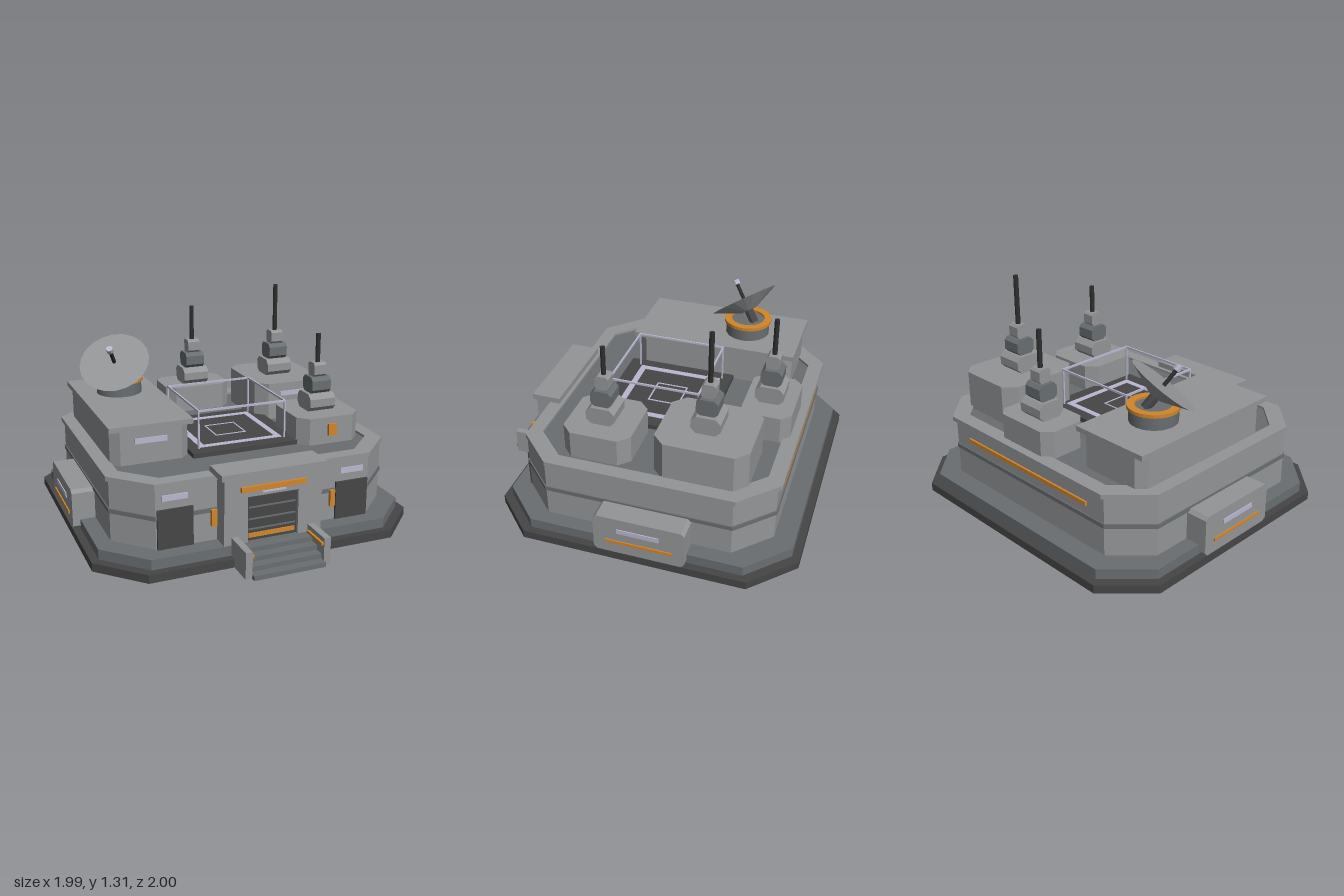
import * as THREE from 'three';

const mat = (name, color) => {
  const m = new THREE.MeshStandardMaterial({ color });
  m.name = name;
  return m;
};

export function createModel() {
  const light = mat('lightGrey', 0x939597);
  const mid = mat('slateGrey', 0x696e71);
  const dark = mat('darkGrey', 0x464646);
  const black = mat('mastBlack', 0x2e2e2e);
  const orange = mat('orange', 0xd0862c);
  const lilac = mat('paleLilac', 0xbab6d0);
  const model = new THREE.Group();
  model.name = 'outpost';

  const add = (name, geo, material, parent = model) => {
    const m = new THREE.Mesh(geo, material);
    m.name = name;
    parent.add(m);
    return m;
  };
  // Box given by its minimum and maximum along each axis
  const box = (name, material, x0, x1, y0, y1, z0, z1, parent = model) => {
    const m = add(name, new THREE.BoxGeometry(x1 - x0, y1 - y0, z1 - z0), material, parent);
    m.position.set((x0 + x1) / 2, (y0 + y1) / 2, (z0 + z1) / 2);
    return m;
  };
  // Rectangle with cut corners, as a list of points
  const cutRect = (u0, u1, v0, v1, c) => [
    [u0 + c, v0], [u1 - c, v0], [u1, v0 + c], [u1, v1 - c],
    [u1 - c, v1], [u0 + c, v1], [u0, v1 - c], [u0, v0 + c],
  ].map(([u, v]) => new THREE.Vector2(u, v));
  // Upright prism with a cut-corner plan and an optional hole
  const prism = (name, material, x0, x1, z0, z1, c, y0, y1, hole) => {
    const shape = new THREE.Shape(cutRect(x0, x1, -z1, -z0, c));
    if (hole) shape.holes.push(new THREE.Path(cutRect(hole[0], hole[1], -hole[3], -hole[2], hole[4])));
    const geo = new THREE.ExtrudeGeometry(shape, { depth: y1 - y0, bevelEnabled: false });
    geo.rotateX(-Math.PI / 2).translate(0, y0, 0);
    return add(name, geo, material);
  };
  // Block along x with a cut-corner profile in z and y
  const sideBlock = (name, material, x0, x1, y0, y1, z0, z1, c) => {
    const shape = new THREE.Shape(cutRect(-z1, -z0, y0, y1, c));
    const geo = new THREE.ExtrudeGeometry(shape, { depth: x1 - x0, bevelEnabled: false });
    geo.rotateY(Math.PI / 2).translate(x0, 0, 0);
    return add(name, geo, material);
  };
  // Flat square outline lying on the pad
  const squareLine = (name, half, width, y) => {
    const shape = new THREE.Shape(cutRect(-half, half, -half, half, 0.0001));
    const i = half - width;
    shape.holes.push(new THREE.Path(cutRect(-i, i, -i, i, 0.0001)));
    const geo = new THREE.ExtrudeGeometry(shape, { depth: 0.004, bevelEnabled: false });
    add(name, geo.rotateX(-Math.PI / 2).translate(0.02, y, 0), lilac);
  };

  // Foundation and main walls
  prism('foundation', dark, -0.985, 0.985, -1, 0.815, 0.245, 0, 0.05);
  prism('plinth', mid, -0.94, 0.94, -0.955, 0.77, 0.23, 0.05, 0.11);
  prism('mainWall', light, -0.85, 0.85, -0.835, 0.665, 0.2, 0.11, 0.47);
  prism('wallBand', mid, -0.857, 0.857, -0.842, 0.672, 0.203, 0.28, 0.305);
  prism('roofDeck', mid, -0.8, 0.8, -0.79, 0.61, 0.19, 0.46, 0.477);
  prism('roofRim', light, -0.865, 0.865, -0.86, 0.67, 0.21, 0.465, 0.492,
    [-0.78, 0.78, -0.77, 0.585, 0.18]);
  box('rearLight', orange, -0.52, 0.52, 0.362, 0.386, -0.847, -0.83);

  // Entrance block, canopy and shutter
  box('entranceSideLeft', light, 0.15, 0.295, 0.11, 0.5, 0.62, 0.768);
  box('entranceSideRight', light, -0.295, -0.155, 0.11, 0.5, 0.62, 0.768);
  box('entranceLintel', light, -0.155, 0.15, 0.38, 0.5, 0.62, 0.768);
  box('canopy', light, -0.315, 0.315, 0.495, 0.53, 0.605, 0.783);
  box('shutter', dark, -0.155, 0.15, 0.11, 0.38, 0.64, 0.748);
  for (const y of [0.175, 0.235, 0.305]) box('shutterSlat', mid, -0.145, 0.14, y, y + 0.008, 0.748, 0.754);
  box('shutterStripe', orange, -0.145, 0.135, 0.13, 0.155, 0.748, 0.756);
  box('entranceLight', orange, -0.2, 0.19, 0.415, 0.445, 0.768, 0.784);
  box('entranceSign', lilac, -0.075, 0.07, 0.397, 0.406, 0.768, 0.776);

  // Steps with side walls
  for (let i = 0; i < 4; i++) box('step', mid, -0.215, 0.212, 0, 0.027 * (i + 1), 0.76, 0.995 - i * 0.055);
  for (const s of [-1, 1]) {
    const w = box('stepWall', light, -0.02, 0.02, 0, 0.157, 0.768, 0.967);
    w.position.x = s * 0.233;
    const l = box('stepLight', orange, -0.007, 0.007, 0.115, 0.13, 0.785, 0.96);
    l.position.x = s * 0.206;
  }

  // Front doors and lamps, side pods with light strips
  for (const s of [-1, 1]) {
    box('sideDoor', dark, -0.103, 0.103, 0.11, 0.34, 0.655, 0.678).position.x = s * 0.541;
    box('doorSign', lilac, -0.074, 0.074, 0.388, 0.421, 0.66, 0.673).position.x = s * 0.54;
    box('wallLamp', orange, -0.015, 0.015, 0.25, 0.345, 0.765, 0.785).position.x = s * 0.357;
    const x = s > 0 ? 0.8 : -0.985;
    sideBlock('sidePod', light, x, x + 0.185, 0.052, 0.295, -0.405, 0.128, 0.02);
    box('podWindow', lilac, -0.005, 0.005, 0.198, 0.227, -0.26, -0.012).position.x = s * 0.986;
    box('podLight', orange, -0.006, 0.006, 0.123, 0.142, -0.335, 0.055).position.x = s * 0.987;
  }

  // Landing pad with painted squares and a railing
  box('landingPad', dark, -0.315, 0.365, 0.47, 0.505, -0.335, 0.35);
  squareLine('padBorder', 0.265, 0.037, 0.504);
  squareLine('padCentre', 0.1, 0.009, 0.504);
  for (const s of [-1, 1]) {
    const e = s * 0.275;
    box('railAlongX', lilac, -0.26, 0.3, 0.728, 0.74, e - 0.005, e + 0.005);
    box('railAlongZ', lilac, 0.015 + e, 0.025 + e, 0.728, 0.74, -0.28, 0.28);
    for (const t of [-0.275, 0.275]) box('railPost', lilac, 0.015 + e, 0.025 + e, 0.5, 0.74, t - 0.005, t + 0.005);
  }

  // Roof house carrying the dish
  prism('dishHouse', light, -0.785, -0.32, -0.695, 0.31, 0.05, 0.47, 0.685);
  box('dishHouseRoof', light, -0.803, -0.305, 0.683, 0.713, -0.71, 0.33);
  box('dishHouseWindow', lilac, -0.65, -0.46, 0.598, 0.63, 0.3, 0.317);

  // Dish: drum, orange ring and tilted reflector
  add('dishDrum', new THREE.CylinderGeometry(0.14, 0.14, 0.085, 16).toNonIndexed(), mid)
    .position.set(-0.55, 0.755, -0.36);
  const ring = new THREE.Shape().absarc(0, 0, 0.15, 0, Math.PI * 2);
  ring.holes.push(new THREE.Path().absarc(0, 0, 0.105, 0, Math.PI * 2));
  const ringGeo = new THREE.ExtrudeGeometry(ring, { depth: 0.02, bevelEnabled: false, curveSegments: 16 });
  add('dishRing', ringGeo.rotateX(-Math.PI / 2), orange).position.set(-0.55, 0.79, -0.36);
  const dish = new THREE.Group();
  dish.name = 'dish';
  dish.position.set(-0.585, 0.915, -0.32);
  dish.quaternion.setFromUnitVectors(new THREE.Vector3(0, 1, 0), new THREE.Vector3(-0.34, 0.77, 0.54).normalize());
  model.add(dish);
  const flat = (geo) => {
    const g = geo.toNonIndexed();
    g.computeVertexNormals();
    return g;
  };
  add('reflector', flat(new THREE.CylinderGeometry(0.218, 0.05, 0.075, 20)), light, dish).position.y = -0.0375;
  add('dishStrut', flat(new THREE.CylinderGeometry(0.03, 0.03, 0.09, 8)), dark, dish).position.y = -0.115;
  add('feedArm', flat(new THREE.CylinderGeometry(0.012, 0.012, 0.11, 8)), black, dish).position.y = 0.055;
  add('feedTip', flat(new THREE.CylinderGeometry(0.022, 0.022, 0.03, 8)), lilac, dish).position.y = 0.122;

  // Roof blocks, each with a stepped antenna
  const antenna = (x, z, y, top) => {
    [[0.17, 0.107, light], [0.125, 0.1, mid], [0.08, 0.085, light]].forEach(([w, h, m]) => {
      sideBlock('antennaBase', m, x - w / 2, x + w / 2, y, y + h, z - w / 2, z + w / 2, w * 0.17);
      y += h;
    });
    add('antennaMast', flat(new THREE.CylinderGeometry(0.015, 0.015, top - y, 8)), black)
      .position.set(x, (top + y) / 2, z);
  };
  prism('rearBlock', light, -0.175, 0.265, -0.81, -0.51, 0.055, 0.47, 0.643);
  antenna(0.045, -0.655, 0.643, 1.16);
  prism('tallBlock', light, 0.315, 0.785, -0.683, -0.145, 0.07, 0.47, 0.715);
  antenna(0.545, -0.41, 0.715, 1.31);
  prism('frontBlock', light, 0.34, 0.75, 0, 0.405, 0.062, 0.47, 0.643);
  antenna(0.545, 0.205, 0.643, 1.11);
  box('frontBlockPanel', orange, 0.52, 0.575, 0.53, 0.602, 0.4, 0.422);
  box('tallBlockWindow', lilac, 0.465, 0.63, 0.63, 0.66, -0.15, -0.137);

  return model;
}
